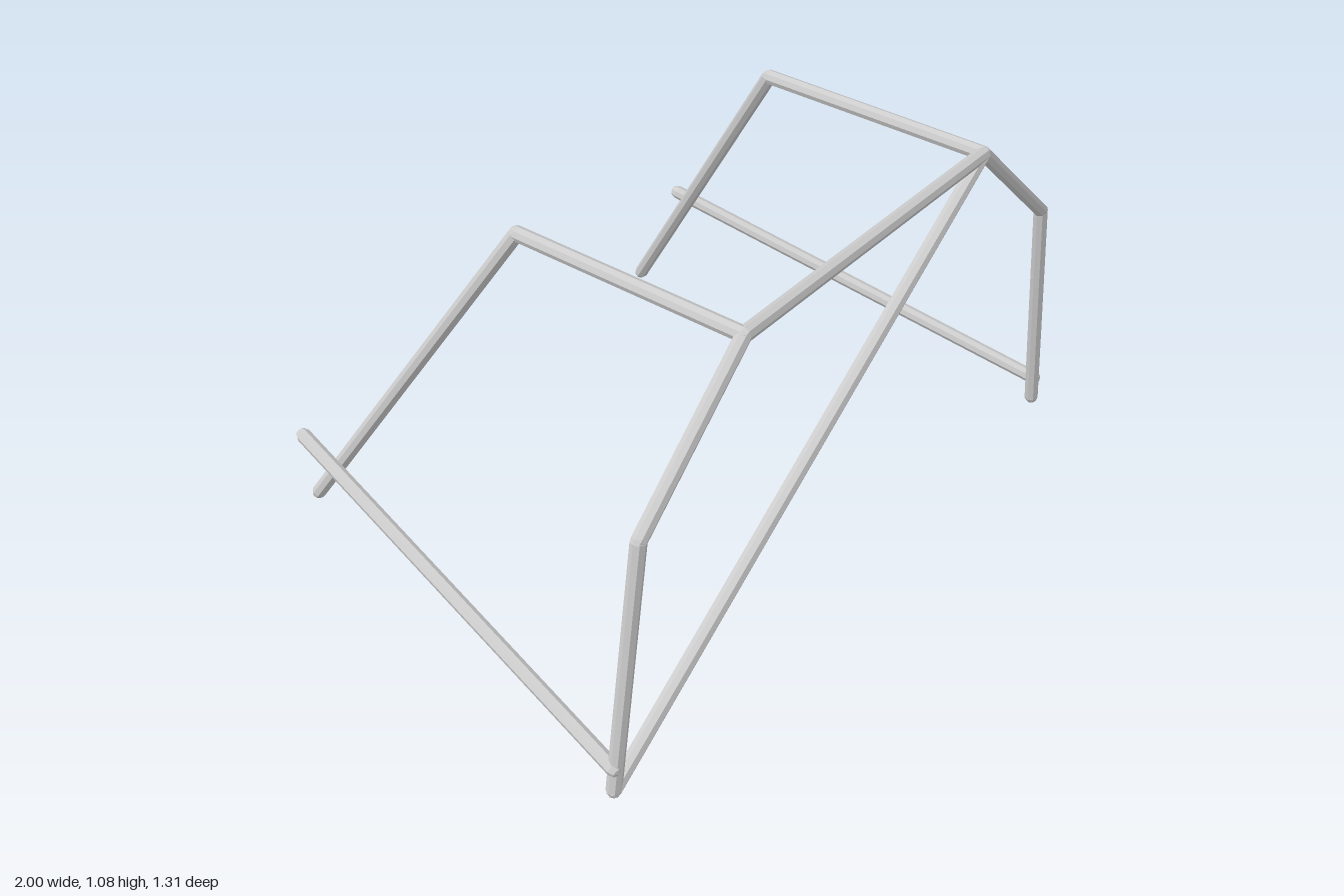
import * as THREE from 'three';

const RADIUS = 0.02;

export function createModel() {
  const steel = new THREE.MeshStandardMaterial({ color: 0xcccccc, flatShading: true });
  steel.name = 'light steel grey';
  const cage = new THREE.Group();
  cage.name = 'rollCage';

  // Straight eight-sided tube with bevelled ends, joining two points
  function tube(name, a, b, parent) {
    const start = new THREE.Vector3(...a);
    const end = new THREE.Vector3(...b);
    const dir = end.clone().sub(start);
    const mesh = new THREE.Mesh(new THREE.CapsuleGeometry(RADIUS, dir.length(), 2, 8), steel);
    mesh.name = name;
    mesh.position.copy(start).add(end).multiplyScalar(0.5);
    mesh.quaternion.setFromUnitVectors(new THREE.Vector3(0, 1, 0), dir.normalize());
    parent.add(mesh);
  }

  const hoopZ = 0.636;

  // Parts found on both sides
  for (const [side, s] of [['left', 1], ['right', -1]]) {
    const group = new THREE.Group();
    group.name = `${side}Side`;
    const foot = [s * 0.979, 0.02, hoopZ];
    const elbow = [s * 0.88, 0.715, hoopZ];
    const shoulder = [s * 0.51, 1.058, hoopZ];
    const roofEnd = [s * 0.51, 1.061, -0.03];
    tube('hoopLowerPost', foot, elbow, group);
    tube('hoopUpperPost', elbow, shoulder, group);
    tube('roofRail', shoulder, roofEnd, group);
    tube('slopingLeg', roofEnd, [s * 0.703, 0.09, -0.636], group);
    tube('doorBar', [s * 0.978, 0.09, hoopZ], [s * 0.792, 0.374, -0.56], group);
    cage.add(group);
  }

  // Top of the hoop and its diagonal brace
  tube('hoopCrossbar', [-0.51, 1.058, hoopZ], [0.51, 1.058, hoopZ], cage);
  tube('diagonalBrace', [0.51, 1.058, hoopZ], [-0.979, 0.02, hoopZ], cage);

  return cage;
}
